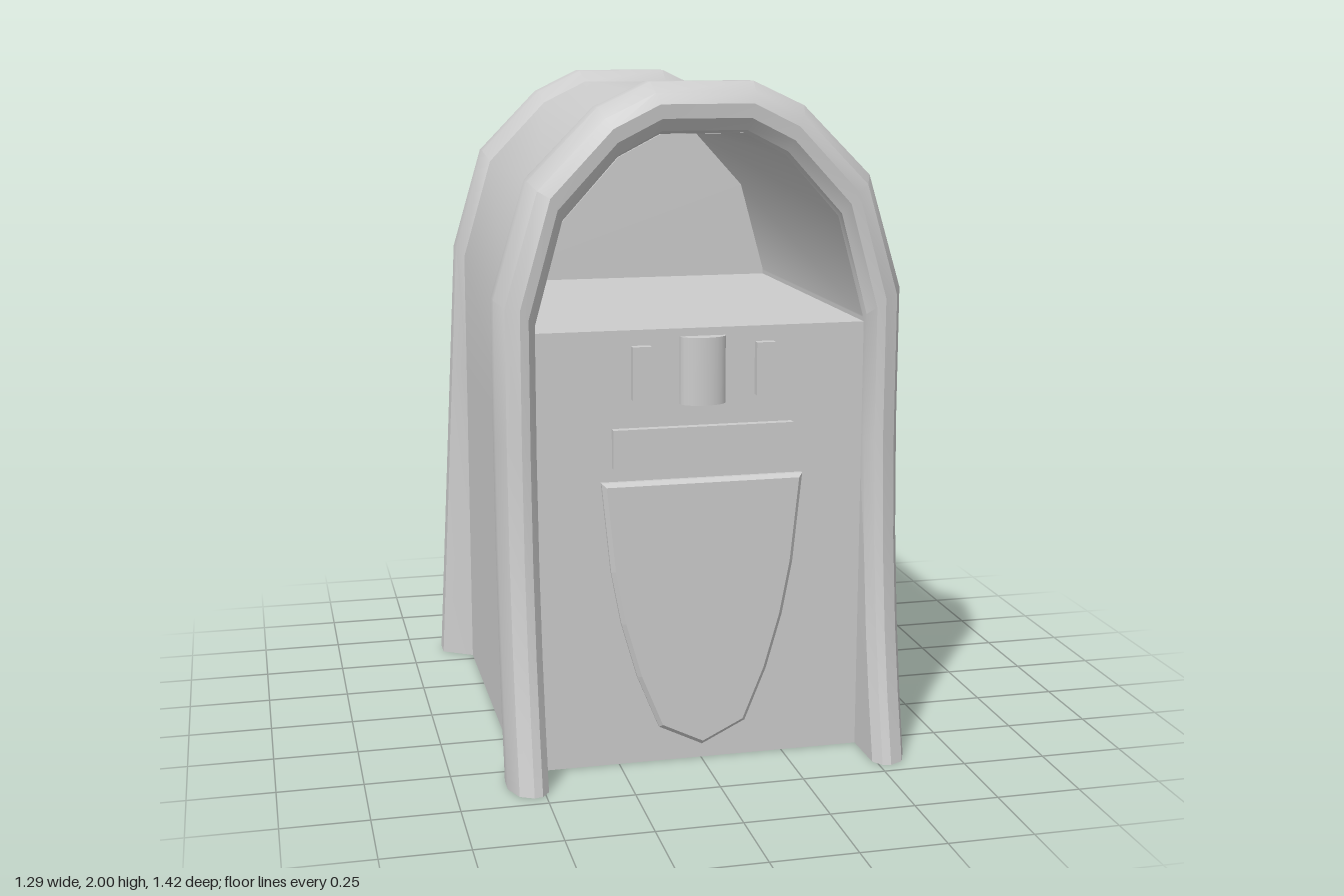
import * as THREE from 'three';
import { toCreasedNormals } from 'three/addons/utils/BufferGeometryUtils.js';

const material = new THREE.MeshStandardMaterial({ color: 0xcccccc, side: THREE.DoubleSide });
const ARCH = [[0.6, 1.4], [0.5, 1.73], [0.3, 1.93], [0.15, 2]];
const PANEL_Z = 0.52;
const LEDGE_Y = 1.305;
const INNER = [0.485, 1.855];

// Arch outline from the +x foot over the top to the -x foot.
function arch(halfWidth, top, foot = 0, flare = 0) {
  const fy = 1 - (0.6 - halfWidth) * 0.95;
  const curve = ARCH.map(([x, y]) => [x * halfWidth / 0.6, top + (y - 2) * fy]);
  const spring = curve[0][1];
  const leg = [0, 0.2, 0.4, 0.67, 1].map((y) => {
    const h = foot + (spring - foot) * (y / 1.4);
    return [halfWidth + flare * (1 - h / spring), h];
  });
  const half = [...leg, ...curve];
  return [...half, ...half.slice().reverse().map(([x, y]) => [-x, y])];
}

// Skin between rows of points.
function loft(rows) {
  const n = rows[0].length;
  const index = [];
  for (let i = 0; i < rows.length - 1; i++) {
    for (let j = 0; j < n - 1; j++) {
      const a = i * n + j, b = a + 1, c = b + n, d = a + n;
      index.push(a, b, c, a, c, d);
    }
  }
  const geometry = new THREE.BufferGeometry();
  geometry.setAttribute('position', new THREE.Float32BufferAttribute(rows.flat(2), 3));
  geometry.setIndex(index);
  return toCreasedNormals(geometry, 0.56);
}

const atZ = (points, z) => points.map(([x, y]) => [x, y, z]);
const toShape = (points) => new THREE.Shape(points.map(([x, y]) => new THREE.Vector2(x, y)));

export function createModel() {
  const model = new THREE.Group();
  const add = (name, geometry, x = 0, y = 0, z = 0) => {
    const mesh = new THREE.Mesh(geometry, material);
    mesh.name = name;
    mesh.position.set(x, y, z);
    model.add(mesh);
    return mesh;
  };

  // Vaulted shell
  const bodyArch = arch(0.55, 1.965);
  add('body', loft([atZ(bodyArch, -0.54), atZ(bodyArch, 0.465).map(([x, y]) => {
    return [x, y, 0.38 + 0.085 * Math.max(0, 1 - y / 1.05) ** 2];
  })]));

  // Front frame: half width, top, depth, and how far the feet sweep forward
  const frameSection = [
    [0.55, 1.963, 0.36, 0.105], [0.585, 1.995, 0.39, 0.105], [0.6, 2, 0.45, 0.12],
    [0.6, 2, 0.5, 0.13], [0.575, 1.97, 0.55, 0.14], [0.535, 1.94, 0.57, 0.14],
    [0.51, 1.9, 0.565, 0.14], [0.488, 1.865, 0.535, 0.14], [...INNER, 0.5, 0],
  ];
  add('frontFrame', loft(frameSection.map(([w, top, z, sweep]) =>
    arch(w, top).map(([x, y]) => [x, y, z + sweep * Math.max(0, 1 - y / 1.05) ** 2]))));

  // Rear frame with legs that flare towards the floor
  const ridge = arch(0.57, 2, 0, 0.075);
  const backArch = arch(0.52, 1.95);
  add('rearFrame', loft([
    atZ(backArch, -0.715), atZ(ridge, -0.66), atZ(ridge, -0.595), atZ(bodyArch, -0.535),
  ]));
  add('backPanel', new THREE.ShapeGeometry(toShape(backArch)), 0, 0, -0.715).rotation.y = Math.PI;

  // Hollow vault above the front panel
  const vault = arch(...INNER, LEDGE_Y);
  add('innerVault', loft([atZ(vault, 0.51), atZ(vault, -0.54)]));
  add('innerBackWall', new THREE.ShapeGeometry(toShape(vault)), 0, 0, -0.54);
  const ledge = new THREE.PlaneGeometry(INNER[0] * 2, PANEL_Z + 0.54).rotateX(-Math.PI / 2);
  add('ledge', ledge, 0, LEDGE_Y, (PANEL_Z - 0.54) / 2);
  add('frontPanel', new THREE.PlaneGeometry(INNER[0] * 2, LEDGE_Y), 0, LEDGE_Y / 2, PANEL_Z);

  // Fittings on the front panel
  for (const side of [-1, 1]) {
    add('sidePlate', new THREE.BoxGeometry(0.055, 0.155, 0.03), side * 0.183, 1.182, PANEL_Z + 0.01);
  }
  add('widePlate', new THREE.BoxGeometry(0.535, 0.115, 0.03), 0, 0.963, PANEL_Z + 0.01);
  const bulge = new THREE.CylinderGeometry(0.068, 0.068, 0.197, 12, 1, false, -Math.PI / 2, Math.PI);
  add('roundedPlate', bulge, 0, 1.183, PANEL_Z).scale.z = 0.6;

  // Shield-shaped rim with a bevelled edge
  const mirror = (half) => [...half, ...half.slice(0, -1).reverse().map(([x, y]) => [-x, y])];
  const rim = toShape(mirror([
    [0.288, 0.853], [0.262, 0.6], [0.232, 0.44], [0.185, 0.275], [0.122, 0.12], [0, 0.06],
  ]));
  rim.holes.push(toShape(mirror([
    [0.262, 0.835], [0.237, 0.6], [0.21, 0.45], [0.17, 0.295], [0.112, 0.137], [0, 0.083],
  ])));
  add('shieldRim', new THREE.ExtrudeGeometry(rim, {
    depth: 0.012, bevelEnabled: true, bevelSize: 0.012, bevelThickness: 0.012, bevelSegments: 1,
  }), 0, 0, PANEL_Z);

  return model;
}
